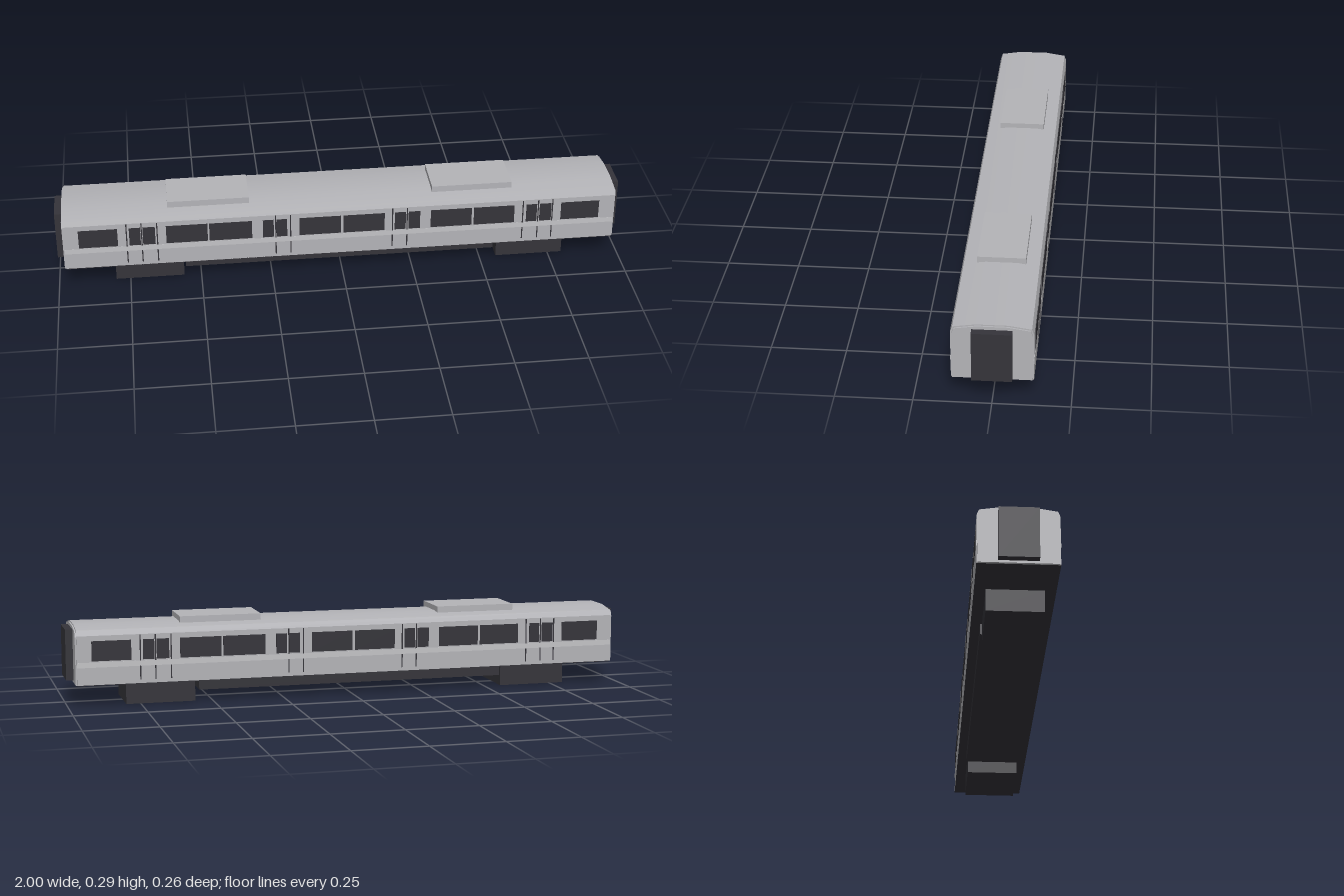
import * as THREE from 'three';
import { toCreasedNormals } from 'three/addons/utils/BufferGeometryUtils.js';

const silver = new THREE.MeshStandardMaterial({ color: 0xb4b4b8 });
silver.name = 'silver';
const lightSilver = new THREE.MeshStandardMaterial({ color: 0xc3c3c6 });
lightSilver.name = 'light silver';
const charcoal = new THREE.MeshStandardMaterial({ color: 0x35343a });
charcoal.name = 'charcoal';

// Box given by its lower and upper corners
function box(name, material, [x0, y0, z0], [x1, y1, z1]) {
  const mesh = new THREE.Mesh(new THREE.BoxGeometry(x1 - x0, y1 - y0, z1 - z0), material);
  mesh.position.set((x0 + x1) / 2, (y0 + y1) / 2, (z0 + z1) / 2);
  mesh.name = name;
  return mesh;
}

// Carriage section swept along x; inset shrinks the outline
function shell(name, halfLength, inset) {
  const half = [[0.131, 0.078], [0.131, 0.247], [0.124, 0.266], [0.052, 0.277]]
    .map(([z, y], i) => [z - inset, i ? y - inset : y]);
  const outline = [...half, ...half.map(([z, y]) => [-z, y]).reverse()];
  const shape = new THREE.Shape(outline.map(([z, y]) => new THREE.Vector2(z, y)));
  const geometry = new THREE.ExtrudeGeometry(shape, { depth: 2 * halfLength, bevelEnabled: false });
  geometry.translate(0, 0, -halfLength);
  geometry.rotateY(Math.PI / 2);
  const mesh = new THREE.Mesh(toCreasedNormals(geometry, 0.3), silver);
  mesh.name = name;
  return mesh;
}

// Windows, waist band and door seams of one long side
function sideDetails(name) {
  const side = new THREE.Group();
  side.name = name;
  const windows = [
    [-0.92, -0.785], [-0.745, -0.706], [-0.698, -0.655], [-0.617, -0.473], [-0.467, -0.318],
    [-0.28, -0.242], [-0.232, -0.195], [-0.152, -0.006], [0.003, 0.149], [0.185, 0.224],
    [0.234, 0.275], [0.313, 0.459], [0.467, 0.612], [0.655, 0.693], [0.703, 0.745], [0.78, 0.917],
  ];
  for (const [a, b] of windows) {
    side.add(box('window', charcoal, [a, 0.16, 0.129], [b, 0.229, 0.1322]));
  }
  const seams = [-0.754, -0.702, -0.648, -0.235, -0.183, 0.177, 0.229, 0.643, 0.698, 0.749];
  for (const x of seams) {
    side.add(box('doorSeam', charcoal, [x - 0.002, 0.09, 0.129], [x + 0.002, 0.138, 0.1316]));
    side.add(box('doorSeam', charcoal, [x - 0.002, 0.156, 0.129], [x + 0.002, 0.245, 0.1316]));
  }
  side.add(box('waistBand', lightSilver, [-0.97, 0.138, 0.129], [0.97, 0.156, 0.1318]));
  return side;
}

export function createModel() {
  const model = new THREE.Group();
  model.name = 'railCarriage';

  // Body with slightly inset ends and a dark floor
  model.add(shell('body', 0.97, 0));
  model.add(shell('bodyEnds', 0.975, 0.004));
  model.add(box('floor', charcoal, [-0.97, 0.076, -0.131], [0.97, 0.0785, 0.131]));

  // Both long sides, turned about the centre
  const front = sideDetails('frontSide');
  const back = sideDetails('backSide');
  back.rotation.y = Math.PI;
  model.add(front, back);

  // Equipment below the floor
  model.add(box('underframe', charcoal, [-0.553, 0.039, -0.1], [0.547, 0.077, 0.1]));

  // Gangway, bogie and roof unit at each end
  for (const s of [-1, 1]) {
    const part = (name, material, a, b, y0, y1, z) => model.add(
      box(name, material, [Math.min(s * a, s * b), y0, -z], [Math.max(s * a, s * b), y1, z]));
    part('gangway', charcoal, 0.96, 1, 0.086, 0.262, 0.064);
    part('bogie', charcoal, 0.56, 0.8, 0, 0.077, 0.094);
    part('roofUnit', silver, 0.323, 0.608, 0.265, 0.295, 0.08);
  }
  return model;
}
